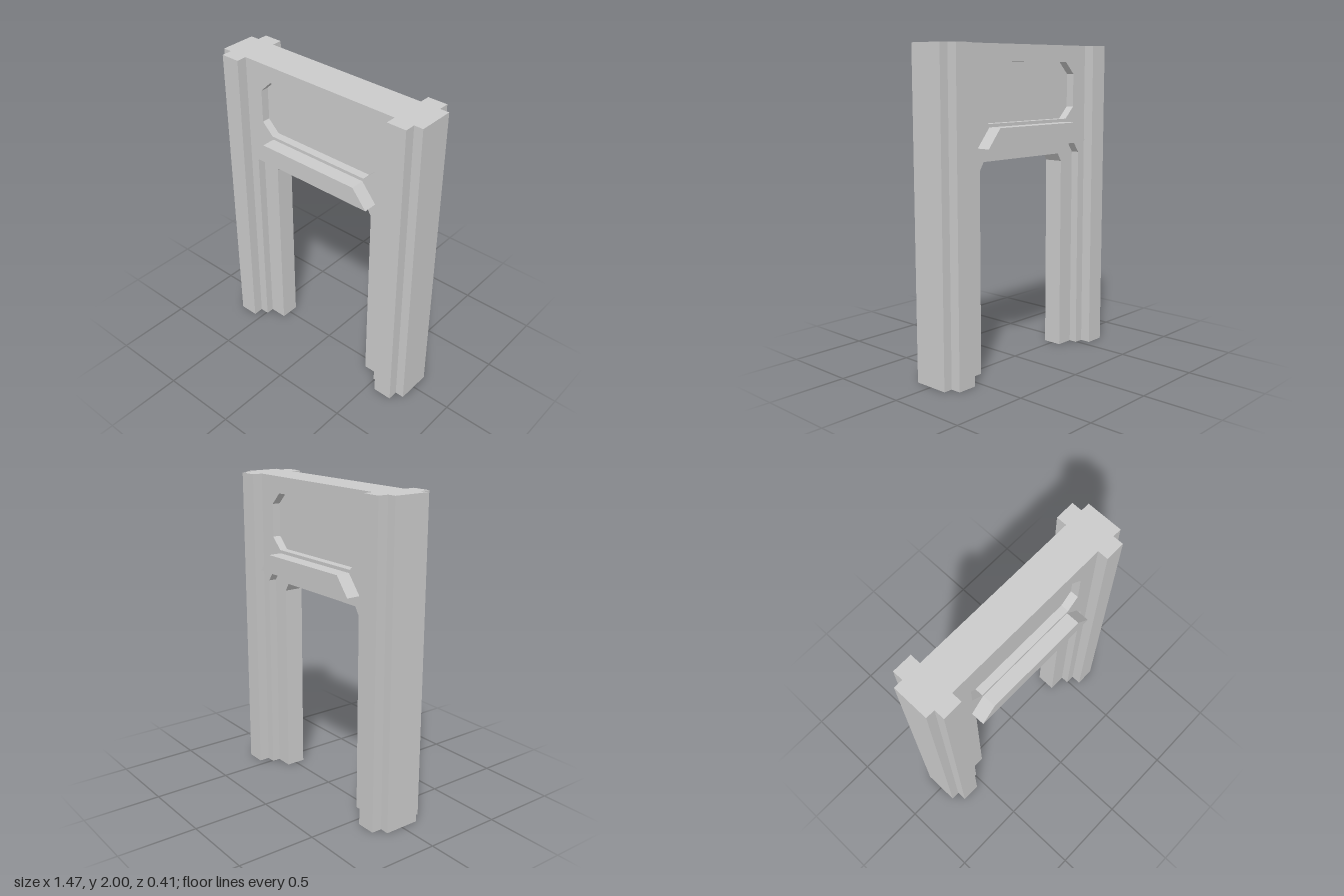
import * as THREE from 'three';

const CORE = 0.063;     // half depth of the recessed core
const WALL = 0.116;     // half depth of the main wall face
const PILASTER = 0.183; // half depth of the pilasters
const HOOD = 0.205;     // half depth of the hood over the door
const HALF_WIDTH = 0.735;
const HEIGHT = 2;

const material = new THREE.MeshStandardMaterial({ color: 0xcccccc, flatShading: true });

// Symmetric outline from its +x half, listed from bottom to top
function mirrored(half) {
  const left = half.map(([x, y]) => [-x, y]).reverse();
  return [...half, ...left].map(([x, y]) => new THREE.Vector2(x, y));
}

// Wall outline with a chamfered doorway cut up from the floor
function portal(halfDoor, shoulder, halfTop, top) {
  return new THREE.Shape([
    [-HALF_WIDTH, 0], [-halfDoor, 0], [-halfDoor, shoulder], [-halfTop, top],
    [halfTop, top], [halfDoor, shoulder], [halfDoor, 0],
    [HALF_WIDTH, 0], [HALF_WIDTH, HEIGHT], [-HALF_WIDTH, HEIGHT],
  ].map(([x, y]) => new THREE.Vector2(x, y)));
}

// Extrude a front outline between two depths
function slab(name, shape, z0, z1) {
  const geometry = new THREE.ExtrudeGeometry(shape, { depth: z1 - z0, bevelEnabled: false });
  geometry.translate(0, 0, z0);
  const mesh = new THREE.Mesh(geometry, material);
  mesh.name = name;
  return mesh;
}

// Everything standing proud of the core on one side
function createFace(name) {
  const face = new THREE.Group();
  face.name = name;

  // Wall facing, cut back around the door and the octagonal panel
  const facing = portal(0.492, 1.31, 0.447, 1.373);
  facing.holes.push(new THREE.Path(mirrored([
    [0.357, 1.535], [0.433, 1.61], [0.433, 1.82], [0.357, 1.895],
  ])));
  face.add(slab('wallFacing', facing, CORE, WALL));

  // Trapezoid hood above the doorway
  const hood = new THREE.Shape(mirrored([[0.447, 1.398], [0.35, 1.515]]));
  face.add(slab('doorHood', hood, WALL, HOOD));

  // Full-height pilasters
  for (const side of [-1, 1]) {
    const depth = PILASTER - WALL;
    const pilaster = new THREE.Mesh(new THREE.BoxGeometry(0.125, HEIGHT, depth), material);
    pilaster.name = side > 0 ? 'leftPilaster' : 'rightPilaster';
    pilaster.position.set(side * 0.6145, HEIGHT / 2, WALL + depth / 2);
    face.add(pilaster);
  }
  return face;
}

export function createModel() {
  const model = new THREE.Group();
  model.name = 'doorway';

  // Core slab: forms the door frame and the floor of the panels
  model.add(slab('doorFrameCore', portal(0.378, 1.255, 0.345, 1.307), -CORE, CORE));

  const front = createFace('frontFace');
  const back = createFace('backFace');
  back.rotation.y = Math.PI;
  model.add(front, back);
  return model;
}
